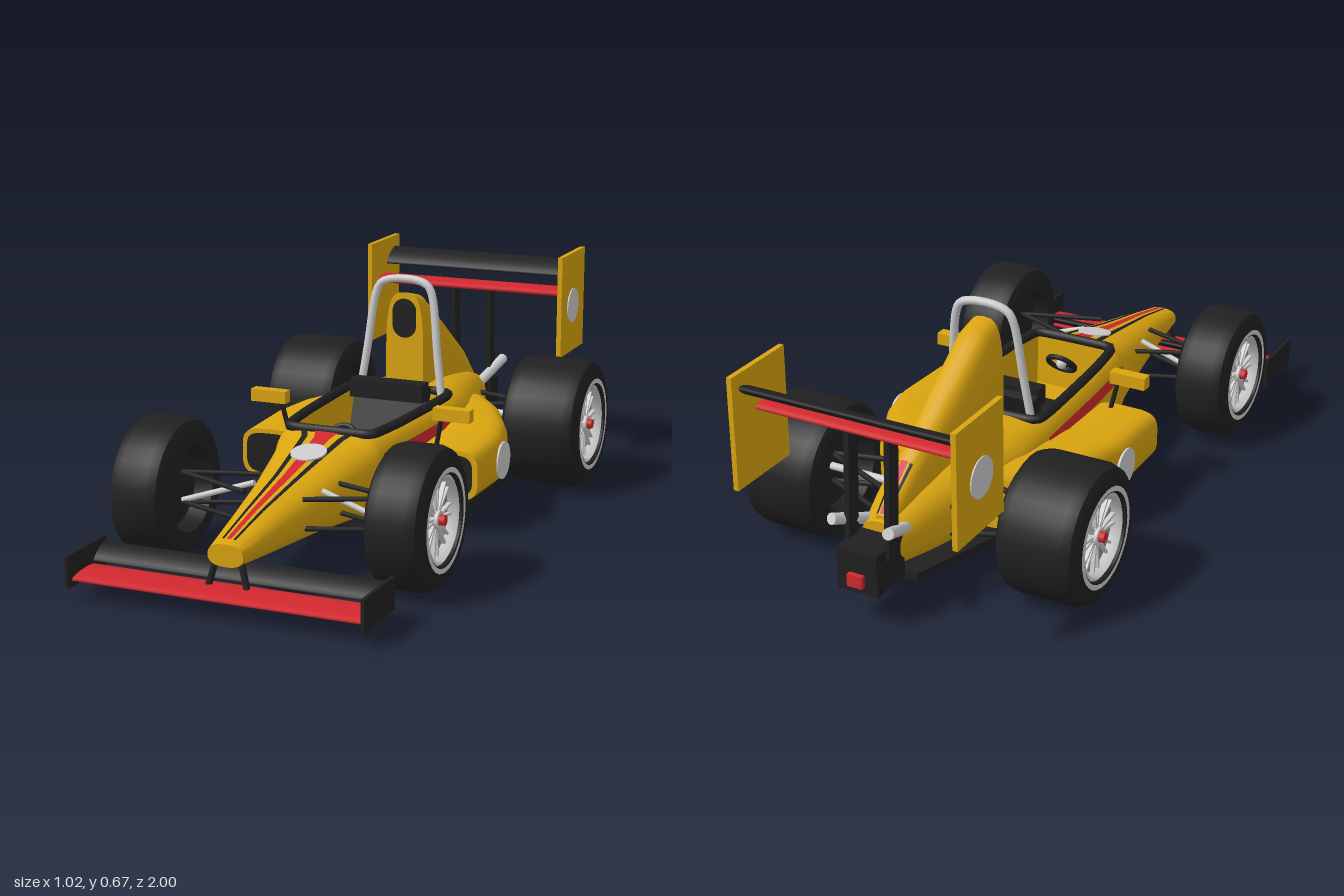
import * as THREE from 'three';
import { toCreasedNormals } from 'three/addons/utils/BufferGeometryUtils.js';

const mat = (name, color, side = THREE.FrontSide) => {
  const m = new THREE.MeshStandardMaterial({ color, side });
  m.name = name;
  return m;
};

export function createModel() {
  const car = new THREE.Group();
  car.name = 'racingCar';
  const yellow = mat('yellow paint', 0xd9a40f);
  const black = mat('black', 0x202020);
  const red = mat('red paint', 0xd0282e, THREE.DoubleSide);
  const silver = mat('silver', 0xcccccc);
  const grey = mat('rim grey', 0x8c8c8c);
  const stripeBlack = mat('stripe black', 0x202020, THREE.DoubleSide);

  const add = (name, geo, material, x = 0, y = 0, z = 0, parent = car) => {
    const m = new THREE.Mesh(geo, material);
    m.name = name;
    m.position.set(x, y, z);
    parent.add(m);
    return m;
  };
  const box = (name, w, h, d, material, x, y, z) => add(name, new THREE.BoxGeometry(w, h, d), material, x, y, z);
  const rod = (name, a, b, r, material) => {
    const p = new THREE.Vector3(...a), q = new THREE.Vector3(...b), d = q.clone().sub(p);
    const m = add(name, new THREE.CylinderGeometry(r, r, d.length(), 10), material);
    m.position.copy(p).add(q).multiplyScalar(0.5);
    m.quaternion.setFromUnitVectors(new THREE.Vector3(0, 1, 0), d.normalize());
    return m;
  };

  // Sections: [z, centre x, half width, bottom, top, roundness, cockpit floor (0 = closed)]
  const lerp = (a, b, t) => a.map((v, i) => v + (b[i] - v) * t);
  const dense = (secs, k = 4) => secs.flatMap((s, i) =>
    i === secs.length - 1 ? [s] : Array.from({ length: k }, (_, j) => lerp(s, secs[i + 1], j / k)));
  const pointAt = ([z, cx, w, b, t, n, floor], deg, off = 0) => {
    const a = deg * Math.PI / 180, c = Math.cos(a), s = Math.sin(a), e = 2 / n;
    const dipped = floor > 0 && deg > 55.2 && deg < 124.8;
    return [cx + (w + off) * Math.sign(c) * Math.abs(c) ** e,
      dipped ? floor : (b + t) / 2 + ((t - b) / 2 + off) * Math.sign(s) * Math.abs(s) ** e, z];
  };
  const skin = (rows, caps) => {
    const n = rows[0].length, pos = rows.flat(2), idx = [];
    for (let i = 0; i < rows.length - 1; i++) for (let j = 0; j < n - 1; j++) {
      const a = i * n + j, b = a + n;
      idx.push(a, b, a + 1, b, b + 1, a + 1);
    }
    if (caps) {
      const last = (rows.length - 1) * n;
      for (let j = 1; j < n - 2; j++) idx.push(0, j, j + 1, last, last + j + 1, last + j);
    }
    const g = new THREE.BufferGeometry();
    g.setAttribute('position', new THREE.Float32BufferAttribute(pos, 3));
    g.setIndex(idx);
    g.computeVertexNormals();
    return toCreasedNormals(g, 0.7);
  };
  const half = [-90, -78, -65, -50, -35, -20, -10, -3, 3, 10, 20, 32, 45, 55, 55.4, 66, 78];
  const ring = [...half, 90, ...half.slice().reverse().map(a => 180 - a)];
  const loft = secs => skin(dense(secs).map(s => ring.map(a => pointAt(s, a))), true);
  // Painted stripe that follows a loft between two angles
  const stripe = (secs, z0, z1, a0, a1) => skin(dense(secs, 8).filter(s => s[0] <= z0 && s[0] >= z1)
    .map(s => [0, 0.33, 0.67, 1].map(t => pointAt(s, a0 + (a1 - a0) * t, 0.004))), false);

  // Main body with nose, open cockpit and tail
  const bodySecs = [
    [0.91, 0, 0.05, 0.125, 0.185, 2.5, 0], [0.74, 0, 0.075, 0.11, 0.225, 2.4, 0],
    [0.55, 0, 0.108, 0.1, 0.262, 2.5, 0], [0.32, 0, 0.153, 0.085, 0.312, 3, 0],
    [0.272, 0, 0.163, 0.08, 0.328, 4, 0]];
  const tubSecs = [[0.27, 0, 0.163, 0.08, 0.328, 4, 0.16], [0.08, 0, 0.178, 0.08, 0.33, 4, 0.16],
    [-0.25, 0, 0.19, 0.08, 0.33, 4, 0.16]];
  const tailSecs = [[-0.252, 0, 0.19, 0.08, 0.33, 4, 0], [-0.36, 0, 0.185, 0.08, 0.335, 3, 0],
    [-0.52, 0, 0.15, 0.085, 0.32, 2.6, 0], [-0.7, 0, 0.1, 0.1, 0.29, 2.5, 0],
    [-0.83, 0, 0.06, 0.12, 0.25, 2.5, 0]];
  // The cockpit walls are vertical, so keep the dipped stretch at its own density
  const rows = [...dense(bodySecs), ...dense(tubSecs), ...dense(tailSecs)];
  add('body', skin(rows.map(s => ring.map(a => pointAt(s, a))), true), yellow);
  add('noseCentreStripe', stripe(bodySecs, 0.9, 0.28, 86.5, 93.5), red);
  for (const [a, b] of [[75, 81], [99, 105]]) add('noseSideStripe', stripe(bodySecs, 0.9, 0.28, a, b), stripeBlack);
  for (const [a, b] of [[5, 18], [162, 175]]) add('flankStripe', stripe(tubSecs, 0.28, -0.25, a, b), red);

  // Engine cover with air intake
  const coverSecs = [[-0.275, 0, 0.06, 0.2, 0.615, 3.2, 0], [-0.34, 0, 0.064, 0.2, 0.6, 3, 0],
    [-0.5, 0, 0.06, 0.2, 0.495, 2.8, 0], [-0.7, 0, 0.045, 0.18, 0.365, 2.6, 0],
    [-0.82, 0, 0.03, 0.16, 0.265, 2.4, 0]];
  add('engineCover', loft(coverSecs), yellow);
  add('coverStripe', stripe(coverSecs, -0.68, -0.82, 82, 98), red);
  for (const [a, b] of [[66, 76], [104, 114]]) add('coverStripe', stripe(coverSecs, -0.68, -0.82, a, b), stripeBlack);
  const intake = new THREE.Shape();
  intake.absarc(0, 0.558, 0.038, 0, Math.PI);
  intake.absarc(0, 0.515, 0.038, Math.PI, Math.PI * 2);
  add('airIntake', new THREE.ShapeGeometry(intake), black, 0, 0, -0.272);

  // Flat floor
  const outline = [[0.14, 0.31], [0.17, 0.09], [0.33, 0.05], [0.33, -0.25], [0.17, -0.5], [0.08, -0.78]];
  const floorShape = new THREE.Shape([...outline, ...outline.map(([x, y]) => [-x, y]).reverse()]
    .map(p => new THREE.Vector2(...p)));
  add('floor', new THREE.ExtrudeGeometry(floorShape, { depth: 0.025, bevelEnabled: false }).rotateX(Math.PI / 2),
    black, 0, 0.092, 0).scale.z = 1;

  // Cockpit
  const rimPath = new THREE.CatmullRomCurve3([[0.1, 0.277], [0.13, 0.255], [0.147, 0.1], [0.158, -0.2], [0.13, -0.26],
    [-0.13, -0.26], [-0.158, -0.2], [-0.147, 0.1], [-0.13, 0.255], [-0.1, 0.277]]
    .map(([x, z]) => new THREE.Vector3(x, 0.325, z)), true, 'catmullrom', 0.3);
  add('cockpitRim', new THREE.TubeGeometry(rimPath, 80, 0.014, 8, true), black);
  box('seatBase', 0.23, 0.05, 0.22, black, 0, 0.185, -0.02);
  box('seatBack', 0.23, 0.2, 0.03, black, 0, 0.26, -0.155).rotation.x = -0.35;
  box('headrest', 0.23, 0.055, 0.05, black, 0, 0.345, -0.155);
  const wheelRim = add('steeringWheel', new THREE.TorusGeometry(0.042, 0.008, 8, 24), black, 0, 0.28, 0.19);
  wheelRim.rotation.x = -0.7;
  add('steeringHub', new THREE.SphereGeometry(0.016, 12, 8), silver, 0, 0.28, 0.19);
  rod('steeringColumn', [0, 0.28, 0.19], [0, 0.24, 0.268], 0.008, black);

  // Roll hoop
  const hoop = new THREE.CatmullRomCurve3([[-0.13, 0.32], [-0.113, 0.44], [-0.09, 0.61], [-0.075, 0.64], [-0.04, 0.654],
    [0.04, 0.654], [0.075, 0.64], [0.09, 0.61], [0.113, 0.44], [0.13, 0.32]]
    .map(([x, y]) => new THREE.Vector3(x, y, -0.245 - (y - 0.32) * 0.085)));
  add('rollHoop', new THREE.TubeGeometry(hoop, 60, 0.012, 10), silver);

  // Round race plates
  const plate = (r, x, y, z, sideways) => {
    const g = new THREE.CylinderGeometry(r, r, 0.006, 32);
    if (sideways) g.rotateZ(Math.PI / 2);
    return add('roundPlate', g, silver, x, y, z);
  };
  plate(0.05, 0, 0.296, 0.41).rotation.x = 0.2;

  // Wheel: tyre, rim, spokes and hub; outside faces +x
  const makeWheel = (name, hw) => {
    const g = new THREE.Group();
    g.name = name;
    const lathe = pts => new THREE.LatheGeometry(pts.map(p => new THREE.Vector2(...p)), 32).rotateZ(-Math.PI / 2);
    add('tyre', toCreasedNormals(lathe([[0.001, -hw + 0.06], [0.11, -hw + 0.05], [0.122, -hw], [0.165, -hw],
      [0.186, -hw + 0.013], [0.195, -hw + 0.04], [0.195, hw - 0.04], [0.186, hw - 0.013], [0.165, hw],
      [0.122, hw], [0.116, hw - 0.04]]), 0.6), black, 0, 0, 0, g);
    add('sidewallRing', lathe([[0.14, hw + 0.002], [0.126, hw + 0.002]]), silver, 0, 0, 0, g);
    add('rimLip', lathe([[0.12, hw - 0.01], [0.11, hw - 0.004], [0.104, hw - 0.035]]), silver, 0, 0, 0, g);
    add('rimDish', lathe([[0.118, hw - 0.035], [0.001, hw - 0.045]]), grey, 0, 0, 0, g);
    for (let i = 0; i < 16; i++) {
      const spoke = add('spoke', new THREE.BoxGeometry(0.012, 0.095, 0.007), silver, hw - 0.03, 0, 0, g);
      const a = (Math.floor(i / 2) + (i % 2 ? 0.17 : -0.17)) * Math.PI / 4;
      spoke.position.set(hw - 0.03, Math.cos(a) * 0.065, Math.sin(a) * 0.065);
      spoke.rotation.x = a;
    }
    add('hub', new THREE.CylinderGeometry(0.024, 0.026, 0.03, 20).rotateZ(-Math.PI / 2), silver, hw - 0.03, 0, 0, g);
    add('hubNut', new THREE.CylinderGeometry(0.014, 0.016, 0.02, 12).rotateZ(-Math.PI / 2), red, hw - 0.01, 0, 0, g);
    return g;
  };

  // Wing element: slim oval section running across the car
  const wing = (name, len, thick, chord, y, z, tilt, material) => {
    const m = add(name, new THREE.CylinderGeometry(0.5, 0.5, 1, 16).rotateZ(Math.PI / 2), material, 0, y, z);
    m.scale.set(len, thick, chord);
    m.rotation.x = tilt;
  };
  wing('frontWingMain', 0.82, 0.022, 0.12, 0.06, 0.92, 0.04, red);
  wing('frontWingFlap', 0.81, 0.022, 0.075, 0.094, 0.842, 0.5, black);
  wing('rearWingMain', 0.635, 0.025, 0.095, 0.536, -0.858, 0.04, red);
  wing('rearWingFlap', 0.635, 0.025, 0.09, 0.6, -0.93, 0.5, black);

  // Gearbox and rain light
  box('gearbox', 0.12, 0.12, 0.135, black, 0, 0.16, -0.878);
  box('rainLight', 0.045, 0.035, 0.015, red, 0, 0.14, -0.953);

  for (const s of [1, -1]) {
    // Wheels
    for (const [name, hw, x, z] of [['frontWheel', 0.08, 0.37, 0.54], ['rearWheel', 0.1175, 0.3925, -0.545]]) {
      const w = makeWheel(name, hw);
      w.position.set(s * x, 0.197, z);
      if (s < 0) w.rotation.y = Math.PI;
      car.add(w);
    }
    // Side pod with radiator inlet
    const pod = [[0.08, 0.268, 0.1, 0.105, 0.25, 4, 0], [-0.13, 0.268, 0.1, 0.1, 0.26, 4, 0],
      [-0.25, 0.235, 0.105, 0.1, 0.27, 3.5, 0], [-0.4, 0.17, 0.1, 0.1, 0.275, 3, 0], [-0.49, 0.13, 0.08, 0.1, 0.27, 2.5, 0]]
      .map(p => [p[0], s * p[1], ...p.slice(2)]);
    add('sidePod', loft(pod), yellow);
    const inlet = new THREE.Shape(ring.map(a => new THREE.Vector2(...pointAt([0, 0, 0.085, -0.06, 0.06, 4, 0], a))));
    add('podInlet', new THREE.ShapeGeometry(inlet), black, s * 0.268, 0.178, 0.083);
    plate(0.055, s * 0.369, 0.175, -0.13, true);
    // Mirror
    box('mirror', 0.11, 0.036, 0.035, yellow, s * 0.285, 0.348, 0.06);
    rod('mirrorStalk', [s * 0.25, 0.335, 0.06], [s * 0.23, 0.24, 0.05], 0.007, black);
    // Suspension arms
    for (const [y0, y1] of [[0.235, 0.24], [0.155, 0.155]]) {
      for (const z of [0.45, 0.63]) rod('frontArm', [s * 0.085, y0, z], [s * 0.32, y1, 0.54], 0.007, black);
      for (const z of [-0.48, -0.65]) rod('rearArm', [s * 0.1, y0, z], [s * 0.33, y1, -0.55], 0.008, black);
    }
    rod('frontPushrod', [s * 0.1, 0.235, 0.54], [s * 0.32, 0.16, 0.54], 0.008, silver);
    rod('driveShaft', [s * 0.08, 0.2, -0.55], [s * 0.34, 0.2, -0.55], 0.011, silver);
    // Front wing end plate and nose bracket
    box('frontEndPlate', 0.01, 0.088, 0.195, black, s * 0.413, 0.082, 0.9);
    rod('noseBracket', [s * 0.035, 0.14, 0.89], [s * 0.055, 0.065, 0.9], 0.009, black);
    // Rear wing end plate, strut and exhaust
    box('rearEndPlate', 0.015, 0.32, 0.232, yellow, s * 0.324, 0.5, -0.883);
    plate(0.055, s * 0.332, 0.49, -0.88, true);
    const strut = box('rearWingStrut', 0.015, 0.36, 0.045, black, s * 0.06, 0.36, -0.865);
    strut.rotation.x = 0.05;
    rod('exhaust', [s * 0.05, 0.225, -0.78], [s * 0.085, 0.285, -0.925], 0.016, silver);
  }
  return car;
}
